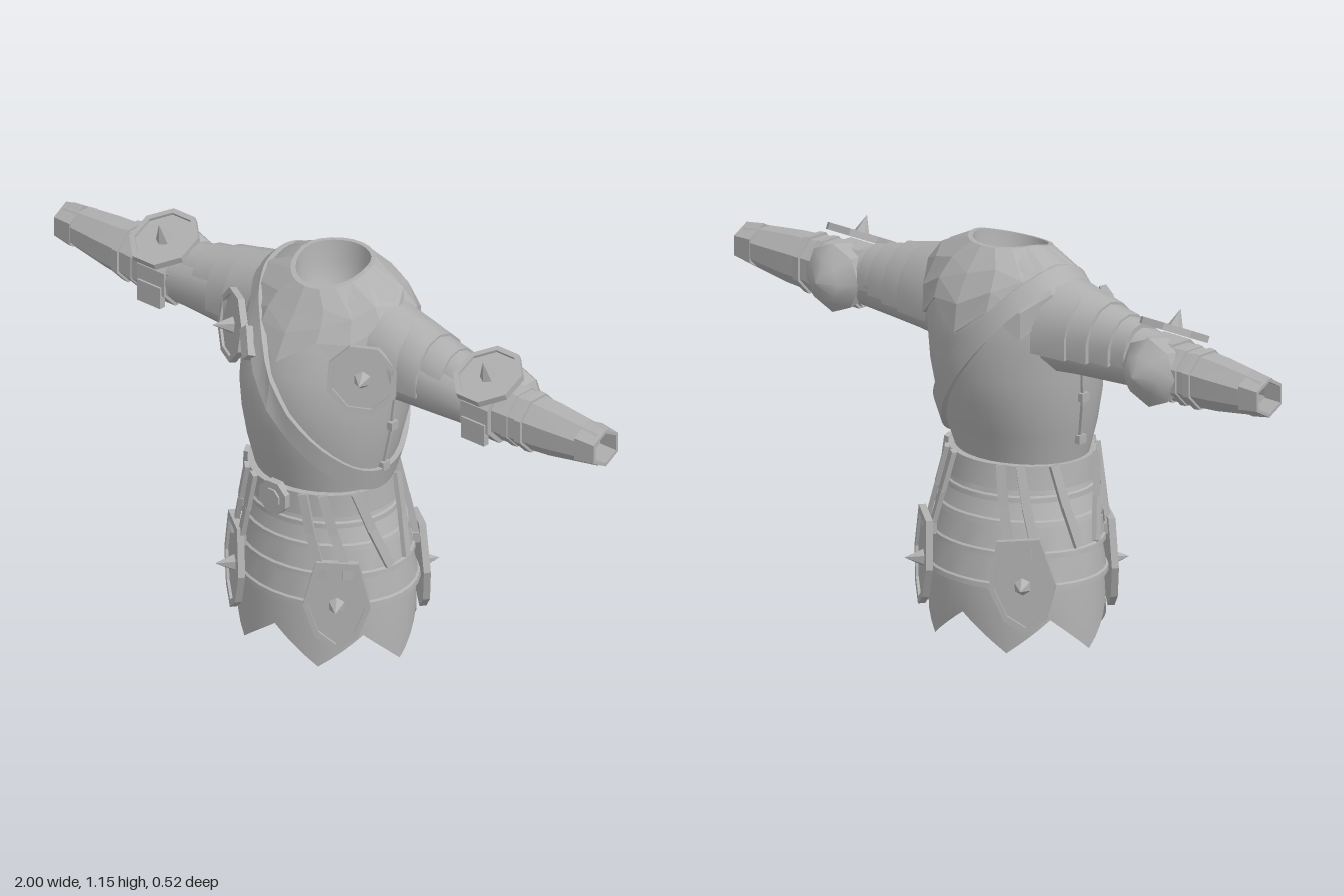
import * as THREE from 'three';
import { toCreasedNormals } from 'three/addons/utils/BufferGeometryUtils.js';

const steel = new THREE.MeshStandardMaterial({ color: 0xb0b0b0, side: THREE.DoubleSide });
steel.name = 'steel';

function add(parent, name, geo) {
  const m = new THREE.Mesh(geo, steel);
  m.name = name;
  parent.add(m);
  return m;
}

// Skin a list of equal-length point rings
function loft(rings, closed = true, crease = 0.6) {
  const n = rings[0].length, pos = rings.flat(2), idx = [];
  for (let i = 0; i < rings.length - 1; i++) {
    for (let j = 0; j < (closed ? n : n - 1); j++) {
      const k = (j + 1) % n, a = i * n + j, b = i * n + k, c = b + n, d = a + n;
      idx.push(a, b, c, a, c, d);
    }
  }
  const g = new THREE.BufferGeometry();
  g.setAttribute('position', new THREE.Float32BufferAttribute(pos, 3));
  g.setIndex(idx);
  return toCreasedNormals(g, crease);
}

// Profiles: y, half width, front z, back z
const NECK = 1.165;
const TORSO = [[0.5, 0.195, 0.185, -0.14], [0.55, 0.205, 0.195, -0.15], [0.63, 0.225, 0.217, -0.182], [0.72, 0.24, 0.235, -0.215],
  [0.8, 0.246, 0.243, -0.235], [0.9, 0.25, 0.226, -0.242], [0.99, 0.252, 0.178, -0.24],
  [1.07, 0.242, 0.138, -0.208], [1.12, 0.205, 0.112, -0.172], [NECK, 0.11, 0.09, -0.138]];
const HIPS = [[0.02, 0.272, 0.225, -0.215], [0.2, 0.262, 0.22, -0.222], [0.36, 0.242, 0.21, -0.195],
  [0.44, 0.212, 0.203, -0.172], [0.55, 0.2, 0.203, -0.155]];

// Point on a body profile at height y and angle t from the front
function on(prof, y, t, off = 0) {
  let i = 0;
  while (i < prof.length - 2 && y > prof[i + 1][0]) i++;
  const p = prof[i], q = prof[i + 1];
  const k = Math.min(1, Math.max(0, (y - p[0]) / (q[0] - p[0])));
  const [rx, f, b] = [1, 2, 3].map(c => p[c] + (q[c] - p[c]) * k);
  const z = (f + b) / 2 + ((f - b) / 2 + off) * Math.cos(t);
  const dip = Math.max(0, y - 1.0) / (NECK - 1.0) * 0.28; // neckline dips at the front
  return [(rx + off) * Math.sin(t), y - dip * Math.max(0, z + 0.04), z];
}
const around = (n, fn) => Array.from({ length: n }, (_, j) => fn(j / n * Math.PI * 2, j));
const band = (prof, levels, n = 32) => loft(levels.map(([y, off]) => around(n, t => on(prof, y, t, off))));

// Strip of the given width and depth between two points, facing outward
function strip(parent, name, a, b, w, d) {
  const A = new THREE.Vector3(...a), B = new THREE.Vector3(...b);
  const m = add(parent, name, new THREE.BoxGeometry(w, A.distanceTo(B), d));
  const y = A.clone().sub(B).normalize();
  const out = A.clone().add(B).setY(0).normalize();
  const x = y.clone().cross(out).normalize();
  m.quaternion.setFromRotationMatrix(new THREE.Matrix4().makeBasis(x, y, x.clone().cross(y)));
  m.position.copy(A.add(B).multiplyScalar(0.5));
}

// Rimmed plate with a central spike, facing along a normal
function spikedPlate(parent, name, pts, at, normal, spikeLength) {
  const g = new THREE.Group();
  g.name = name;
  const v = pts.map(p => new THREE.Vector2(...p));
  const inner = v.map(p => p.clone().multiplyScalar(0.84));
  const opts = depth => ({ depth, bevelEnabled: false });
  add(g, 'platePanel', new THREE.ExtrudeGeometry(new THREE.Shape(v), opts(0.012)));
  const rim = new THREE.Shape(v);
  rim.holes.push(new THREE.Path(inner));
  add(g, 'plateRim', new THREE.ExtrudeGeometry(rim, opts(0.02)));
  const cone = new THREE.ConeGeometry(0.026, spikeLength, 6);
  const spike = add(g, 'spike', toCreasedNormals(cone, 0.3));
  spike.rotation.x = Math.PI / 2;
  spike.position.z = 0.01 + spikeLength / 2;
  g.position.set(...at);
  g.quaternion.setFromUnitVectors(new THREE.Vector3(0, 0, 1), new THREE.Vector3(...normal).normalize());
  parent.add(g);
}
const octagon = r => around(8, t => [r * Math.cos(t + Math.PI / 8), r * Math.sin(t + Math.PI / 8)]);
const shield = [[-0.06, 0.135], [0.06, 0.135], [0.095, 0.0], [0.06, -0.095], [0, -0.14], [-0.06, -0.095], [-0.095, 0.0]];

// Arm cross-sections: x, centre y, centre z, half height, half depth
const sleeve = (secs, n = 8, from = 0, sweep = Math.PI * 2) => {
  const closed = sweep > 6.2;
  return loft(secs.map(([x, cy, cz, ry, rz]) => Array.from({ length: closed ? n : n + 1 }, (_, j) => {
    const t = from + j / n * sweep;
    return [x, cy + ry * Math.cos(t), cz + rz * Math.sin(t)];
  })), closed);
};

function makeSide(sign) {
  const s = new THREE.Group();
  s.name = sign > 0 ? 'leftSide' : 'rightSide';
  s.scale.x = sign;

  // Sleeve, cuff and forearm bands
  add(s, 'upperSleeve', sleeve([[0.19, 0.94, -0.03, 0.125, 0.115], [0.3, 0.935, -0.025, 0.11, 0.105],
    [0.42, 0.925, -0.022, 0.094, 0.092], [0.56, 0.92, -0.02, 0.082, 0.08]], 12));
  add(s, 'forearm', sleeve([[0.54, 0.915, -0.02, 0.084, 0.082], [0.7, 0.915, -0.027, 0.084, 0.08],
    [0.82, 0.916, -0.03, 0.076, 0.073], [0.99, 0.92, -0.035, 0.054, 0.055]], 8, Math.PI / 8));
  add(s, 'cuff', sleeve([[0.935, 0.919, -0.034, 0.056, 0.057], [0.935, 0.919, -0.034, 0.068, 0.068],
    [1.0, 0.92, -0.035, 0.057, 0.06], [1.0, 0.92, -0.035, 0.047, 0.05], [0.94, 0.92, -0.035, 0.047, 0.05]], 6));
  for (const x of [0.685, 0.735]) {
    add(s, 'forearmBand', sleeve([[x, 0.915, -0.028, 0.075, 0.07], [x, 0.915, -0.028, 0.089, 0.086],
      [x + 0.022, 0.915, -0.028, 0.087, 0.084], [x + 0.022, 0.915, -0.028, 0.075, 0.07]], 8, Math.PI / 8));
  }

  // Overlapping shoulder lames
  const lames = [[0.2, 0.32, 0.168, 0.145], [0.3, 0.39, 0.145, 0.13], [0.37, 0.46, 0.122, 0.11], [0.44, 0.51, 0.102, 0.096]];
  for (const [x0, x1, r0, r1] of lames) {
    add(s, 'shoulderLame', sleeve([[x0, 0.935, -0.03, r0, r0 * 0.78], [x1, 0.93, -0.03, r1, r1 * 0.82],
      [x1, 0.93, -0.03, r1 - 0.014, r1 * 0.82 - 0.014]], 8, -1.8, 3.6));
  }

  // Elbow guard
  add(s, 'elbowBand', sleeve([[0.55, 0.915, -0.02, 0.075, 0.075], [0.55, 0.915, -0.02, 0.092, 0.092],
    [0.65, 0.915, -0.02, 0.092, 0.092], [0.65, 0.915, -0.02, 0.075, 0.075]], 8, Math.PI / 8));
  const cop = add(s, 'elbowCop', toCreasedNormals(new THREE.LatheGeometry(
    [[0.085, 0.03], [0.1, 0.105], [0.06, 0.145], [0, 0.175]].map(p => new THREE.Vector2(...p)), 8), 0.7));
  cop.rotation.x = -Math.PI / 2;
  cop.position.set(0.605, 0.92, 0);
  add(s, 'elbowBracket', new THREE.BoxGeometry(0.085, 0.065, 0.02)).position.set(0.6, 0.872, 0.062);
  spikedPlate(s, 'elbowDisc', octagon(0.104), [0.6, 1.01, 0.0], [0, 0.88, 0.4], 0.06);

  // Chest disc and hip plates
  spikedPlate(s, 'chestDisc', octagon(0.105), [0.235, 0.927, 0.118], [0.52, 0.14, 0.83], 0.06);
  for (const z of [1, -1]) {
    spikedPlate(s, z > 0 ? 'frontHipPlate' : 'backHipPlate', shield, [0.183, 0.215, 0.168 * z], [0.6, 0.03, 0.8 * z], 0.055);
  }

  // Hanging straps from belt to hip plates and sides
  for (const z of [1, -1]) {
    for (const [t0, t1] of [[0.42, 0.58], [0.68, 0.88], [1.13, 1.42]]) {
      const a = z > 0 ? t0 : Math.PI - t0, b = z > 0 ? t1 : Math.PI - t1;
      const top = on(HIPS, 0.545, a, 0.022), mid = on(HIPS, 0.43, (a + b) / 2, 0.028), low = on(HIPS, 0.315, b, 0.022);
      strip(s, 'hangingStrap', top, mid, 0.026, 0.014);
      strip(s, 'hangingStrap', mid, low, 0.026, 0.014);
      if (t0 < 1) strip(s, 'strapEnd', [low[0], 0.33, low[2]], [low[0], 0.3, low[2]], 0.034, 0.024);
    }
  }

  // Side seam with clasps
  for (let y = 0.6; y < 0.82; y += 0.055) {
    strip(s, 'sideSeam', on(TORSO, y + 0.056, Math.PI / 2, 0.002), on(TORSO, y, Math.PI / 2, 0.002), 0.01, 0.012);
  }
  for (const y of [0.61, 0.74]) {
    add(s, 'sideClasp', new THREE.BoxGeometry(0.02, 0.025, 0.028)).position.set(...on(TORSO, y, Math.PI / 2, 0.006));
  }
  return s;
}

export function createModel() {
  const model = new THREE.Group();
  model.name = 'armour';

  // Breastplate and the closed lining inside the neck
  add(model, 'breastplate', loft(TORSO.map(r => around(40, t => on(TORSO, r[0], t))), true, 1.2));
  add(model, 'neckLining', loft([[0, 0.008], [0, -0.006], [0.06, -0.012], [0.13, -0.03], [0.17, -0.065], [0.18, -0.11]].map(([drop, off]) =>
    around(24, t => {
      const p = on(TORSO, NECK, t, off);
      return [p[0], p[1] - drop, p[2]];
    })), true, 1.1));

  // Faceted mantle with a zigzag hem
  const hem = j => (j % 2 ? 1.01 : 0.935);
  const mantleRow = (k, off) => around(16, (t, j) => on(TORSO, hem(j) + (NECK - hem(j)) * k, t, off));
  add(model, 'mantle', loft([mantleRow(0, -0.005), mantleRow(0, 0.012), mantleRow(0.35, 0.014),
    mantleRow(0.7, 0.012), mantleRow(1, 0.006)], true, 0.05));

  // Diagonal strap, following the torso along a slanted plane
  const strapPoint = (t, c, off) => {
    let lo = 0.5, hi = 1.14;
    for (let i = 0; i < 30; i++) {
      const y = (lo + hi) / 2;
      if (y < c - 1.28 * on(TORSO, y, t)[0]) lo = y; else hi = y;
    }
    return on(TORSO, lo, t, off);
  };
  const strapRings = Array.from({ length: 49 }, (_, i) => {
    const t = i / 48 * Math.PI * 2;
    return [[0.885, -0.01], [0.885, 0.016], [0.8, 0.016], [0.8, -0.01]].map(([c, o]) => strapPoint(t, c, o));
  });
  add(model, 'diagonalStrap', loft(strapRings));
  const clasp = add(model, 'strapBuckle', new THREE.BoxGeometry(0.035, 0.09, 0.025));
  clasp.position.set(-0.12, 0.945, 0.2);
  clasp.rotation.set(-0.4, -0.4, 0.65);

  // Belt and buckle
  add(model, 'belt', band(HIPS, [[0.475, 0], [0.475, 0.016], [0.543, 0.016], [0.543, -0.005]]));
  const buckle = new THREE.Group();
  buckle.name = 'beltBuckle';
  buckle.position.set(0, 0.512, 0.222);
  for (const [r, d] of [[0.052, 0.024], [0.03, 0.036]]) {
    add(buckle, 'buckleFace', toCreasedNormals(new THREE.CylinderGeometry(r, r, d, 8), 0.3)).rotation.set(Math.PI / 2, Math.PI / 8, 0);
  }
  model.add(buckle);

  // Overlapping waist lames
  for (const [top, low] of [[0.5, 0.44], [0.455, 0.375], [0.39, 0.29], [0.305, 0.2]]) {
    add(model, 'waistLame', band(HIPS, [[low, -0.004], [low, 0.014], [low + 0.014, 0.014], [low + 0.018, 0.008], [top, 0]]));
  }

  // Zigzag skirt with six points
  const zig = j => 0.01 + 0.1 * Math.abs((j % 8) / 4 - 1);
  add(model, 'skirt', loft([around(48, (t, j) => on(HIPS, zig(j), t, 0)), around(48, t => on(HIPS, 0.2, t, 0)),
    around(48, t => on(HIPS, 0.32, t, -0.005))]));

  model.add(makeSide(1), makeSide(-1));
  return model;
}
